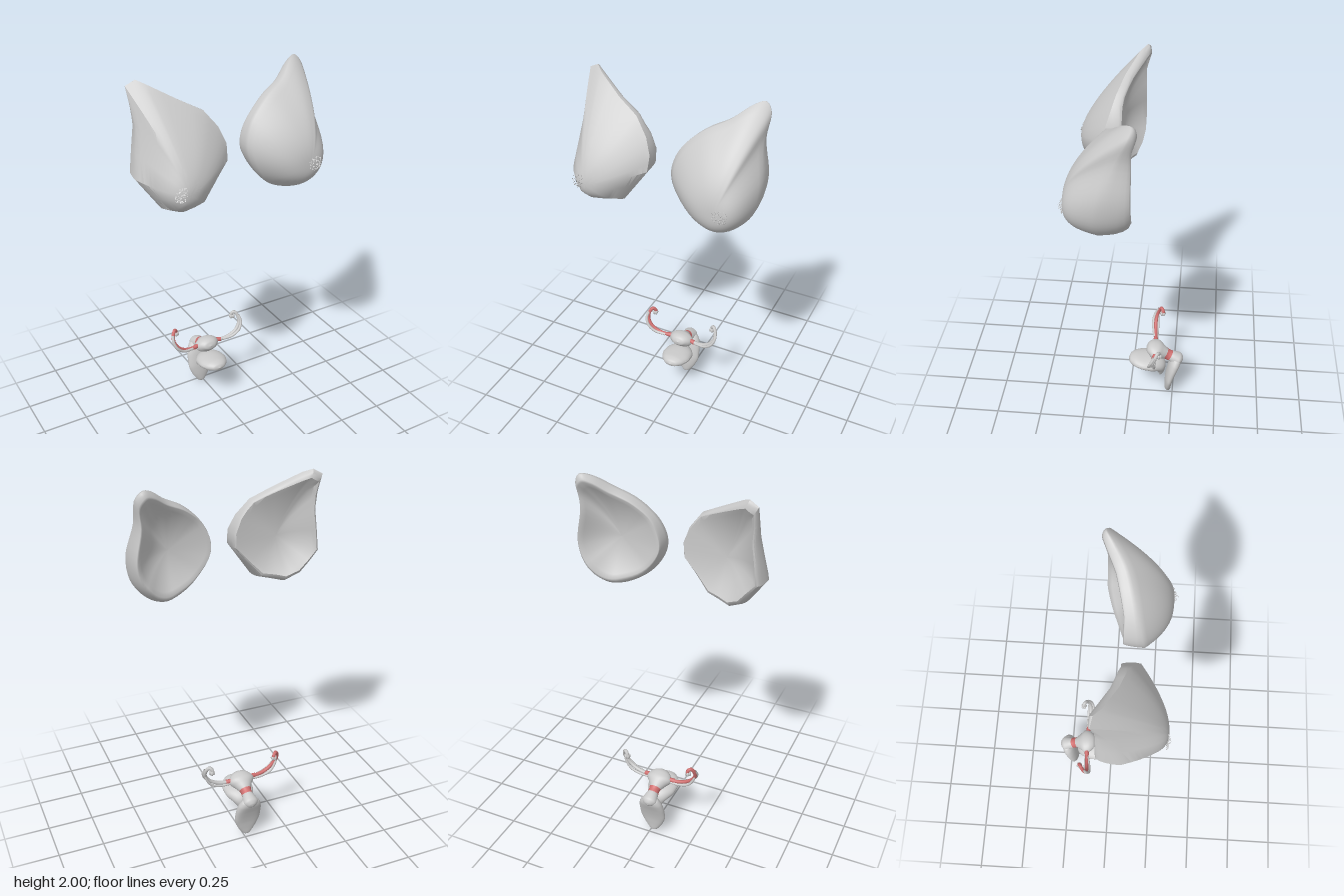
import * as THREE from 'three';
import { toCreasedNormals } from 'three/addons/utils/BufferGeometryUtils.js';

const grey = new THREE.MeshStandardMaterial({ color: 0xcccccc, side: THREE.DoubleSide });
const red = new THREE.MeshStandardMaterial({ color: 0xd07070, side: THREE.DoubleSide });
const clamp = THREE.MathUtils.clamp;
const V = (x, y, z = 0) => new THREE.Vector3(x, y, z);

function add(parent, name, geometry, material = grey) {
  const mesh = new THREE.Mesh(geometry, material);
  mesh.name = name;
  parent.add(mesh);
  return mesh;
}

// Skin over a list of closed rings with equal point counts
function skin(rings) {
  const n = rings[0].length, pos = [], idx = [];
  for (const r of rings) for (const p of r) pos.push(p.x, p.y, p.z);
  for (let i = 0; i < rings.length - 1; i++) {
    for (let j = 0; j < n; j++) {
      const a = i * n + j, b = i * n + (j + 1) % n;
      idx.push(a, a + n, b, b, a + n, b + n);
    }
  }
  const g = new THREE.BufferGeometry();
  g.setAttribute('position', new THREE.Float32BufferAttribute(pos, 3));
  g.setIndex(idx);
  g.computeVertexNormals();
  return g;
}

// Elliptical body along a path in the y-z plane; rows are [y, z, halfWidth, halfThickness]
function body(rows, steps, dish = 0) {
  const path = new THREE.CatmullRomCurve3(rows.map(r => V(0, r[0], r[1])));
  const size = new THREE.CatmullRomCurve3(rows.map(r => V(r[2], r[3])));
  const rings = [], sides = 28;
  for (let i = 0; i <= steps; i++) {
    const t = i / steps, c = path.getPoint(t), d = path.getTangent(t), s = size.getPoint(t);
    const ring = [];
    for (let j = 0; j < sides; j++) {
      const a = j / sides * Math.PI * 2;
      let k = Math.sin(a) * Math.max(s.y, 0.0005);
      // hollow the rear face along its middle
      if (k < 0) k *= 1 - dish * Math.sin(a) ** 2 * Math.sin(Math.PI * t);
      ring.push(V(Math.cos(a) * Math.max(s.x, 0.0005), c.y - d.z * k, c.z + d.y * k));
    }
    rings.push(ring);
  }
  return skin(rings);
}

// Tear-shaped shell: round dome growing into the outline, rounded lip, shallow hollow back
function shell(outline, apex, power, mean, depth) {
  const rings = [];
  const rims = outline.map(p => {
    const side = clamp((p.x - 0.12) / 0.34, 0, 1);
    const inset = 0.04 + 0.08 * side + 0.6 * Math.max(1.6 - p.y, 0);
    return V(p.x + (0.3 - p.x) * inset, p.y + (1.65 - p.y) * Math.min(inset, 0.2),
      0.05 - 0.095 * side - 0.3 * Math.max(p.y - 1.9, 0));
  });
  for (let i = 0; i <= 18; i++) {
    const s = Math.max(i / 18, 0.002);
    rings.push(outline.map(p => {
      const radius = Math.hypot(p.x - apex.x, p.y - apex.y);
      const q = apex.clone().lerp(p, s * (mean / radius * (1 - s) + s));
      q.z = apex.z + (p.z - apex.z) * Math.pow(s, power);
      return q;
    }));
  }
  for (let i = 1; i <= 5; i++) {
    const a = i / 5 * Math.PI / 2;
    rings.push(outline.map((p, j) => {
      const q = rims[j].clone().lerp(p, Math.cos(a));
      q.z = p.z + (rims[j].z - p.z) * Math.sin(a);
      return q;
    }));
  }
  const deep = V(0.29, 1.64, depth);
  for (let i = 1; i <= 10; i++) {
    const s = Math.max(1 - i / 10, 0.002);
    rings.push(rims.map(r => {
      const q = deep.clone().lerp(r, s);
      q.z = deep.z + (r.z - deep.z) * s * s;
      return q;
    }));
  }
  return skin(rings);
}

export function createModel() {
  const root = new THREE.Group();
  root.name = 'anatomyModel';

  // Left breast, smooth
  const smoothOutline = new THREE.CatmullRomCurve3([
    V(0.445, 1.99, -0.045), V(0.478, 1.95, -0.03), V(0.472, 1.82, 0.03), V(0.502, 1.63, 0.09),
    V(0.478, 1.49, 0.11), V(0.405, 1.4, 0.12), V(0.31, 1.37, 0.13), V(0.17, 1.43, 0.15),
    V(0.085, 1.54, 0.155), V(0.062, 1.64, 0.145), V(0.1, 1.75, 0.125), V(0.2, 1.85, 0.095),
    V(0.31, 1.912, 0.055), V(0.395, 1.975, -0.01)
  ], true).getPoints(64).slice(0, -1);
  add(root, 'leftBreast', shell(smoothOutline, V(0.34, 1.54, 0.285), 2.7, 0.22, 0.075));

  // Right breast, coarser and faceted
  const corners = [
    V(0.43, 2, -0.05), V(0.478, 1.975, -0.06), V(0.47, 1.8, 0.02), V(0.505, 1.56, 0.07),
    V(0.41, 1.42, 0.14), V(0.33, 1.38, 0.13), V(0.19, 1.415, 0.16), V(0.06, 1.6, 0.16),
    V(0.055, 1.68, 0.14), V(0.085, 1.76, 0.115), V(0.15, 1.845, 0.085), V(0.26, 1.905, 0.05),
    V(0.39, 1.98, -0.015)
  ];
  const facetOutline = corners.flatMap((p, i) => {
    const q = corners[(i + 1) % corners.length];
    return [0, 0.5].map(t => p.clone().lerp(q, t));
  });
  const right = add(root, 'rightBreast',
    toCreasedNormals(shell(facetOutline, V(0.33, 1.53, 0.288), 2.3, 0.19, 0.06), 0.6));
  right.scale.x = -1;

  // Speckled areolas
  let seed = 7;
  const rnd = () => (seed = (seed * 16807) % 2147483647) / 2147483647;
  const speck = new THREE.TetrahedronGeometry(0.003);
  for (const side of [1, -1]) {
    const areola = new THREE.Group();
    areola.name = side > 0 ? 'leftAreola' : 'rightAreola';
    for (let i = 0; i < 120; i++) {
      const a = rnd() * Math.PI * 2, r = 0.04 * Math.sqrt(rnd());
      add(areola, 'speck', speck).position.set(
        side * 0.37 + r * Math.cos(a), 1.535 + r * Math.sin(a), 0.278 + (0.045 - r) * 0.7 * rnd());
    }
    root.add(areola);
  }

  // Pelvic organs share a slightly shifted middle plane
  const pelvis = new THREE.Group();
  pelvis.name = 'pelvicOrgans';
  pelvis.position.x = -0.017;
  root.add(pelvis);

  // Uterus: wide fundus, narrow neck, rounded cervix
  add(pelvis, 'uterus', body([
    [0.335, -0.092, 0, 0], [0.333, -0.1, 0.035, 0.022], [0.328, -0.125, 0.062, 0.039],
    [0.318, -0.15, 0.072, 0.046], [0.303, -0.18, 0.048, 0.04], [0.284, -0.217, 0.027, 0.03],
    [0.27, -0.25, 0.036, 0.034], [0.258, -0.28, 0.042, 0.034], [0.25, -0.3, 0.02, 0.018],
    [0.248, -0.305, 0, 0]
  ], 44));
  add(pelvis, 'neckBand', body([
    [0.293, -0.203, 0.033, 0.034], [0.286, -0.216, 0.029, 0.0315], [0.278, -0.23, 0.031, 0.0325]
  ], 6), red);

  // Vagina: hanging leaf shape, slightly hollow at the back
  add(pelvis, 'vagina', body([
    [0.002, -0.222, 0, 0], [0.016, -0.223, 0.022, 0.017], [0.065, -0.226, 0.054, 0.024],
    [0.125, -0.234, 0.074, 0.029], [0.19, -0.25, 0.073, 0.034], [0.235, -0.264, 0.064, 0.036],
    [0.265, -0.274, 0.045, 0.028], [0.278, -0.279, 0, 0]
  ], 40, 0.3));

  // Bladder with its downward outlet and rim seam
  add(pelvis, 'bladder', body([
    [0.246, 0.01, 0, 0], [0.245, 0, 0.036, 0.019], [0.242, -0.03, 0.066, 0.032],
    [0.237, -0.08, 0.084, 0.037], [0.227, -0.13, 0.081, 0.042], [0.207, -0.165, 0.06, 0.042],
    [0.172, -0.178, 0.034, 0.025], [0.137, -0.177, 0.014, 0.012], [0.118, -0.175, 0, 0]
  ], 44));
  const seam = add(pelvis, 'bladderSeam', new THREE.TorusGeometry(1, 0.03, 6, 48));
  seam.rotation.x = Math.PI / 2;
  seam.scale.set(0.081, 0.085, 0.1);
  seam.position.set(0, 0.242, -0.085);

  // Uterine tubes, ligaments and fringed ends
  const strand = (arm, name, radius, points, material) => add(arm, name,
    new THREE.TubeGeometry(new THREE.CatmullRomCurve3(points), 36, radius, 8), material);
  for (const side of [1, -1]) {
    const arm = new THREE.Group();
    arm.name = side > 0 ? 'leftTube' : 'rightTube';
    arm.scale.x = side;
    pelvis.add(arm);
    strand(arm, 'tube', 0.01, [
      V(0.055, 0.328, -0.145), V(0.1, 0.325, -0.14), V(0.15, 0.337, -0.136),
      V(0.19, 0.365, -0.134), V(0.213, 0.405, -0.142), V(0.21, 0.445, -0.156),
      V(0.195, 0.465, -0.168), V(0.182, 0.45, -0.176), V(0.183, 0.435, -0.176)
    ], side > 0 ? grey : red);
    strand(arm, 'tubeRoot', 0.0125,
      [V(0.05, 0.328, -0.147), V(0.07, 0.327, -0.143), V(0.088, 0.325, -0.14)], red);
    strand(arm, 'ligament', 0.007, [
      V(0.06, 0.315, -0.15), V(0.12, 0.315, -0.148), V(0.175, 0.335, -0.148),
      V(0.204, 0.375, -0.146), V(0.216, 0.425, -0.144), V(0.206, 0.455, -0.16)
    ]);
    strand(arm, 'outerStrand', 0.008, [
      V(0.1, 0.325, -0.134), V(0.16, 0.337, -0.122), V(0.202, 0.37, -0.119),
      V(0.22, 0.41, -0.132), V(0.215, 0.445, -0.15)
    ]);
    for (let i = 0; i < 5; i++) {
      const a = i / 5 * Math.PI * 2;
      const frill = add(arm, 'fringe', new THREE.SphereGeometry(0.008, 8, 6));
      frill.scale.y = 1.6;
      frill.position.set(0.184 + 0.01 * Math.cos(a), 0.436, -0.174 + 0.01 * Math.sin(a));
    }
  }
  return root;
}
